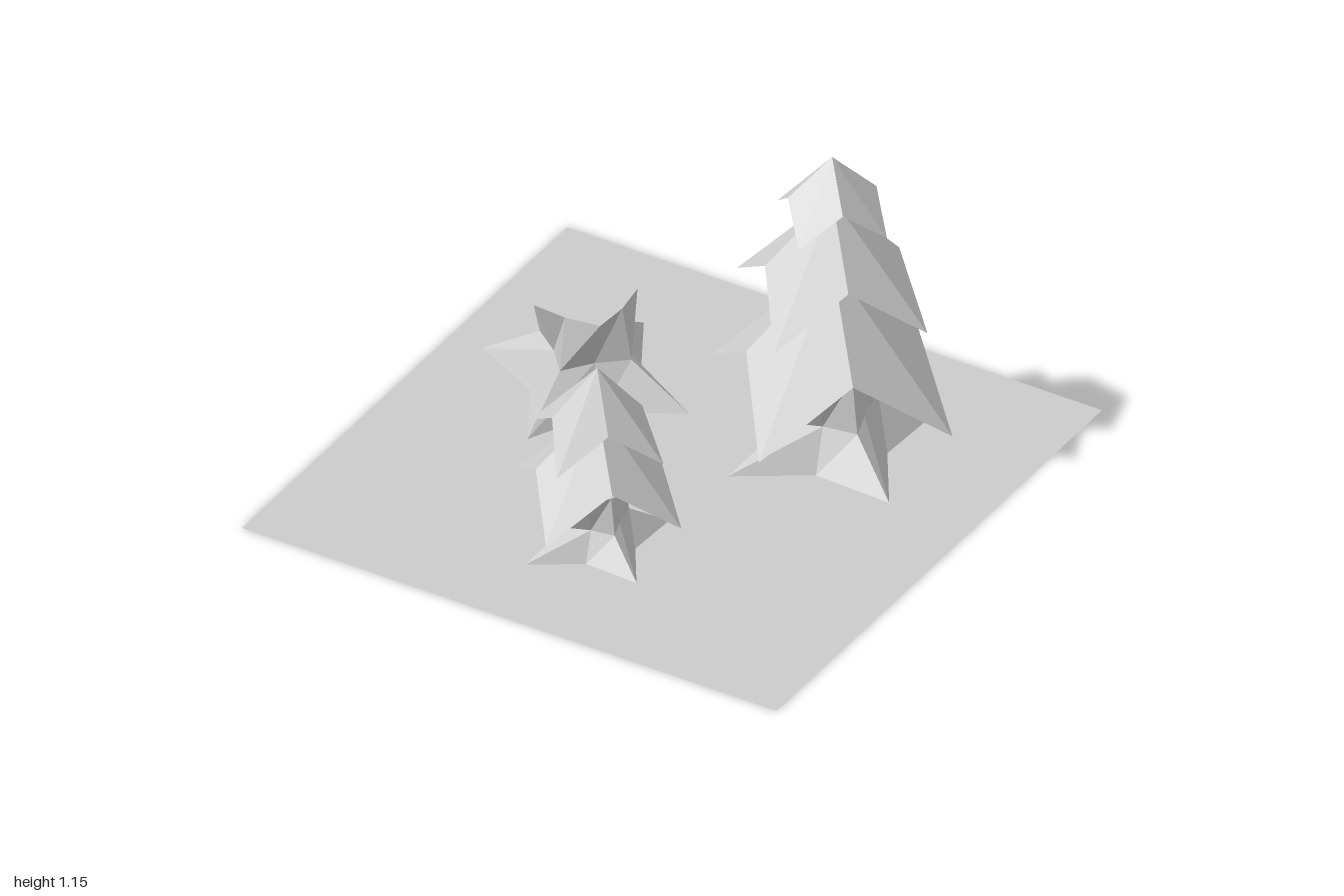
import * as THREE from 'three';

const material = new THREE.MeshStandardMaterial({
  color: 0xcccccc, flatShading: true, side: THREE.DoubleSide,
});

// Eight-point star ring: four points on the axes, four on the diagonals (at +-d, +-d).
function starRing(axisR, axisY, d, diagY) {
  return Array.from({ length: 8 }, (_, i) => {
    const a = (i * Math.PI) / 4;
    const r = i % 2 ? d * Math.SQRT2 : axisR;
    return [r * Math.cos(a), i % 2 ? diagY : axisY, r * Math.sin(a)];
  });
}

// Skins rings from bottom to top and closes the last one with a fan to the apex.
function loft(rings, apexY) {
  const pos = [];
  const apex = [0, apexY, 0];
  rings.forEach((lo, k) => {
    const hi = rings[k + 1];
    for (let i = 0; i < 8; i++) {
      const j = (i + 1) % 8;
      if (hi) pos.push(...lo[j], ...lo[i], ...hi[i], ...lo[j], ...hi[i], ...hi[j]);
      else pos.push(...apex, ...lo[j], ...lo[i]);
    }
  });
  const geo = new THREE.BufferGeometry();
  geo.setAttribute('position', new THREE.Float32BufferAttribute(pos, 3));
  geo.computeVertexNormals();
  return geo;
}

function addMesh(parent, name, geometry) {
  const mesh = new THREE.Mesh(geometry, material);
  mesh.name = name;
  parent.add(mesh);
  return mesh;
}

// Trunk with four pointed roots, a pinched waist and a flat flared top.
function addTrunk(parent, name, scale, turn) {
  const trunk = addMesh(parent, name, loft([
    starRing(0.38, 0, 0.13, 0),
    starRing(0.168, 0.138, 0.075, 0.138),
    starRing(0.135, 0.325, 0.122, 0.325),
  ], 0.325));
  trunk.scale.setScalar(scale);
  trunk.position.y = 0.045;
  trunk.rotation.y = THREE.MathUtils.degToRad(turn);
}

// Tiers: [apexY, tipRadius, tipY, innerOffset, innerY]
function addTree(parent, name, x, z, trunkScale, tiers) {
  const tree = new THREE.Group();
  tree.name = name;
  tree.position.set(x, 0, z);
  addTrunk(tree, 'trunk', trunkScale, -30);
  tiers.forEach(([apexY, r, tipY, d, innerY], i) => {
    addMesh(tree, `foliageTier${i + 1}`, loft([starRing(r, tipY, d, innerY)], apexY));
  });
  parent.add(tree);
}

export function createModel() {
  const model = new THREE.Group();
  model.name = 'forestPatch';

  // Ground sheet
  addMesh(model, 'ground', new THREE.PlaneGeometry(2, 2).rotateX(-Math.PI / 2));

  // Large three-tier tree
  addTree(model, 'largeTree', 0.398, -0.33, 1, [
    [0.75, 0.45, 0.235, 0.2, 0.45],
    [1.0, 0.357, 0.6, 0.156, 0.77],
    [1.155, 0.205, 0.915, 0.103, 1.02],
  ]);

  // Small two-tier tree
  addTree(model, 'smallTree', 0.047, 0.537, 0.69, [
    [0.57, 0.315, 0.21, 0.143, 0.36],
    [0.72, 0.248, 0.435, 0.105, 0.55],
  ]);

  // Cut stump
  const stump = new THREE.Group();
  stump.name = 'stump';
  stump.position.set(-0.462, 0, -0.228);
  addTrunk(stump, 'stumpTrunk', 1, 2);
  model.add(stump);

  return model;
}
